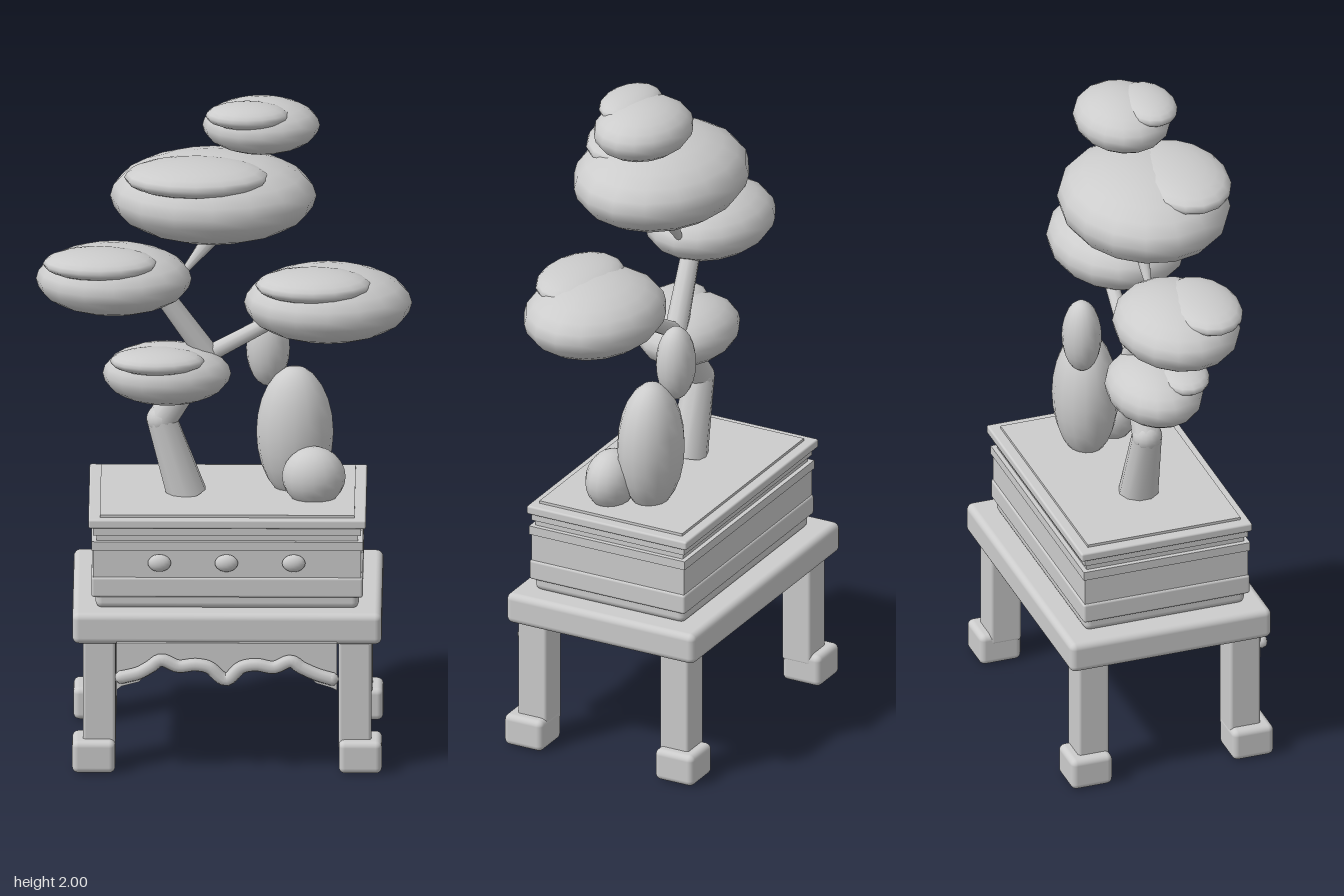
import * as THREE from 'three';
import { RoundedBoxGeometry } from 'three/addons/geometries/RoundedBoxGeometry.js';

const CX = 0.008, CZ = -0.012; // centre of the stand and pot

export function createModel() {
  const root = new THREE.Group();
  const stone = new THREE.MeshStandardMaterial({ color: 0xcccccc });
  stone.name = 'pale grey';

  const add = (name, geo, x, y, z, parent = root) => {
    const m = new THREE.Mesh(geo, stone);
    m.name = name;
    m.position.set(x, y, z);
    parent.add(m);
    return m;
  };
  const group = (name) => {
    const g = new THREE.Group();
    g.name = name;
    root.add(g);
    return g;
  };
  // box given by its height range
  const slab = (name, w, y0, y1, d, r, x, z, parent) => add(name,
    r ? new RoundedBoxGeometry(w, y1 - y0, d, 3, r) : new THREE.BoxGeometry(w, y1 - y0, d),
    x, (y0 + y1) / 2, z, parent);
  const blob = (name, c, r, parent) => {
    const g = new THREE.SphereGeometry(1, 16, 12);
    g.scale(...r);
    return add(name, g, ...c, parent);
  };
  // tapered limb between two points
  const limb = (name, a, b, ra, rb, parent) => {
    const p = new THREE.Vector3(...a), q = new THREE.Vector3(...b);
    const dir = q.clone().sub(p);
    const m = add(name, new THREE.CylinderGeometry(rb, ra, dir.length(), 10), 0, 0, 0, parent);
    m.position.copy(p).add(q).multiplyScalar(0.5);
    m.quaternion.setFromUnitVectors(new THREE.Vector3(0, 1, 0), dir.normalize());
  };

  // Stand: top, four legs with block feet
  const stand = group('stand');
  slab('tableTop', 0.905, 0.4, 0.495, 0.627, 0.02, CX, -0.017, stand);
  for (const sx of [-1, 1]) for (const sz of [-1, 1]) {
    slab('leg', 0.096, 0.07, 0.41, 0.096, 0.01, CX + sx * 0.374, CZ + sz * 0.236, stand);
    slab('foot', 0.126, 0.005, 0.103, 0.128, 0.018, CX + sx * 0.39, CZ + sz * 0.251, stand);
  }

  // Apron: scalloped board with a raised wavy moulding
  const wave = [[-0.3, 0.307], [-0.25, 0.32], [-0.215, 0.34], [-0.185, 0.36], [-0.135, 0.341],
    [-0.085, 0.346], [-0.045, 0.338], [0.005, 0.3], [0.05, 0.338], [0.095, 0.346],
    [0.145, 0.338], [0.195, 0.357], [0.225, 0.338], [0.27, 0.317], [0.315, 0.303]];
  const board = new THREE.Shape();
  board.moveTo(0.33, 0.41);
  board.lineTo(-0.315, 0.41);
  board.lineTo(-0.315, 0.265);
  for (const [x, y] of wave) board.lineTo(x, y - (Math.abs(x) > 0.24 ? 0.03 : 0.012));
  board.lineTo(0.33, 0.265);
  board.closePath();
  add('apron', new THREE.ExtrudeGeometry(board, { depth: 0.034, bevelEnabled: false }), 0, 0, 0.272, stand);
  const path = new THREE.CatmullRomCurve3(wave.map(([x, y]) => new THREE.Vector3(x, y, 0.313)));
  add('apronMoulding', new THREE.TubeGeometry(path, 70, 0.02, 8), 0, 0, 0, stand);
  for (const i of [0, wave.length - 1])
    add('mouldingEnd', new THREE.SphereGeometry(0.02, 8, 6), wave[i][0], wave[i][1], 0.313, stand);

  // Pot: stacked tray layers
  const pot = group('pot');
  slab('potBase', 0.77, 0.492, 0.56, 0.5, 0.02, CX, CZ, pot);
  slab('potLowerBand', 0.794, 0.53, 0.592, 0.518, 0.008, CX, CZ, pot);
  slab('potBody', 0.784, 0.54, 0.675, 0.508, 0, CX, CZ, pot);
  slab('potNeck', 0.765, 0.67, 0.75, 0.49, 0, CX, CZ, pot);
  slab('potUpperBand', 0.794, 0.675, 0.702, 0.518, 0, CX, CZ, pot);
  slab('potCollar', 0.784, 0.72, 0.75, 0.508, 0, CX, CZ, pot);
  slab('potRim', 0.812, 0.743, 0.77, 0.532, 0.006, CX, CZ - 0.003, pot);
  slab('soil', 0.745, 0.74, 0.778, 0.475, 0, CX, CZ, pot);
  for (const x of [-0.19, 0.006, 0.203]) blob('potStud', [x, 0.638, 0.25], [0.034, 0.026, 0.02], pot);

  // Tree: crooked trunk and branches
  const tree = group('tree');
  const bend = [-0.185, 1.0, 0], fork = [-0.05, 1.2, 0.005];
  limb('trunk', [-0.112, 0.77, 0], bend, 0.06, 0.045, tree);
  blob('trunkBend', bend, [0.045, 0.045, 0.045], tree);
  limb('upperTrunk', bend, fork, 0.045, 0.034, tree);
  blob('fork', fork, [0.034, 0.034, 0.034], tree);
  limb('leftBranch', fork, [0.22, 1.355, 0.02], 0.025, 0.02, tree);
  limb('rightBranch', fork, [-0.2, 1.42, 0.03], 0.034, 0.028, tree);
  limb('topBranch', [-0.13, 1.45, 0.03], [0, 1.62, 0.03], 0.008, 0.032, tree);

  // Foliage: [pad centre, pad radii, cap centre, cap radii]
  const foliage = group('foliage');
  const pads = [
    [[0.106, 1.915, 0.028], [0.172, 0.08, 0.14], [0.066, 1.965, 0.093], [0.122, 0.037, 0.083]],
    [[-0.034, 1.703, 0.045], [0.302, 0.13, 0.247], [-0.082, 1.79, 0.14], [0.212, 0.05, 0.142]],
    [[-0.325, 1.445, 0.04], [0.228, 0.1, 0.182], [-0.365, 1.513, 0.108], [0.167, 0.041, 0.11]],
    [[0.302, 1.387, 0.083], [0.246, 0.11, 0.2], [0.26, 1.463, 0.155], [0.17, 0.044, 0.118]],
    [[-0.17, 1.15, 0.027], [0.188, 0.09, 0.138], [-0.198, 1.208, 0.092], [0.138, 0.036, 0.085]],
  ];
  for (const [c, r, cc, cr] of pads) {
    blob('foliagePad', c, r, foliage);
    blob('foliageCap', cc, cr, foliage);
  }

  // Standing rocks beside the tree
  const rocks = group('rocks');
  blob('tallRock', [0.204, 0.945, -0.05], [0.113, 0.202, 0.096], rocks);
  blob('upperRock', [0.125, 1.19, -0.09], [0.064, 0.115, 0.058], rocks);
  blob('lowRock', [0.26, 0.84, 0.05], [0.093, 0.09, 0.074], rocks);

  return root;
}
